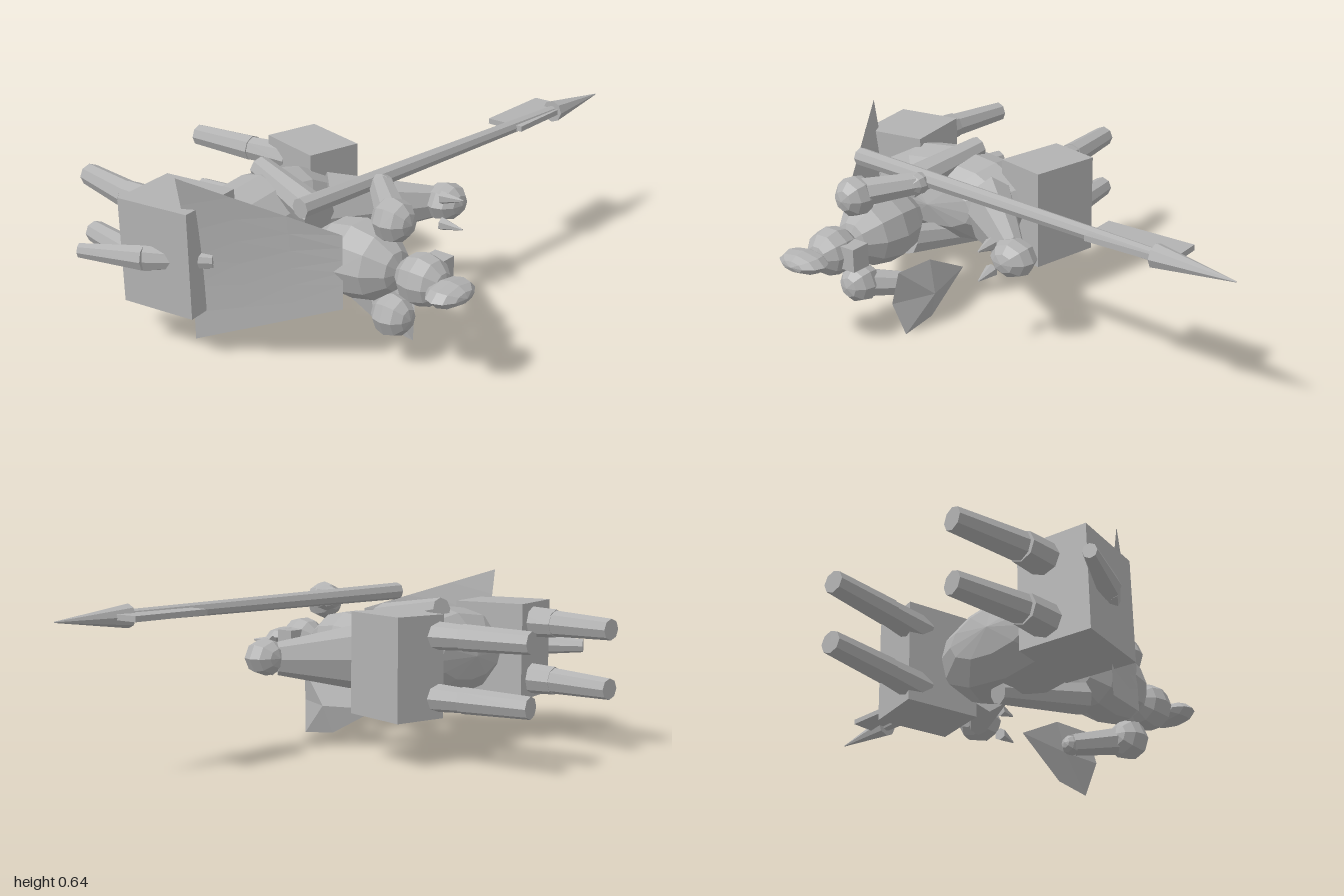
import * as THREE from 'three';

const MID = 0.355; // height of the figure's mirror plane

export function createModel() {
  const model = new THREE.Group();
  model.name = 'mountedLancer';
  const grey = new THREE.MeshStandardMaterial({ color: 0xb2b2b2, flatShading: true, side: THREE.DoubleSide });
  grey.name = 'plainGrey';

  const add = (name, geometry, pos = [0, 0, 0]) => {
    const mesh = new THREE.Mesh(geometry, grey);
    mesh.name = name;
    mesh.position.set(...pos);
    model.add(mesh);
    return mesh;
  };
  // Faceted ellipsoid with its poles along z
  const ball = (name, pos, radii, w = 10, h = 6) =>
    add(name, new THREE.SphereGeometry(1, w, h).rotateX(Math.PI / 2).scale(...radii), pos);
  const block = (name, pos, size, turn = 0) => {
    add(name, new THREE.BoxGeometry(...size), pos).rotation.y = turn;
  };
  // Tapered bar from a to b; squash narrows it sideways
  const bar = (name, a, b, ra, rb, squash = 1, sides = 8) => {
    const p = new THREE.Vector3(...a), q = new THREE.Vector3(...b);
    const dir = q.clone().sub(p), length = dir.length();
    dir.normalize();
    const x = new THREE.Vector3().crossVectors(dir, new THREE.Vector3(0, 1, 0)).normalize();
    const z = new THREE.Vector3().crossVectors(x, dir);
    const mesh = add(name, new THREE.CylinderGeometry(rb, ra, length, sides).scale(squash, 1, 1),
      p.add(q).multiplyScalar(0.5).toArray());
    mesh.quaternion.setFromRotationMatrix(new THREE.Matrix4().makeBasis(x, dir, z));
  };
  const faces = (name, points, index) => {
    const g = new THREE.BufferGeometry();
    g.setAttribute('position', new THREE.Float32BufferAttribute(points.flat(), 3));
    g.setIndex(index);
    const flat = g.toNonIndexed();
    flat.computeVertexNormals();
    add(name, flat);
  };

  // Horse body, quarters, neck, head and tail
  ball('horseBody', [-0.44, MID, -0.14], [0.38, 0.18, 0.18], 12, 6);
  block('foreQuarters', [-0.075, MID, -0.23], [0.205, 0.37, 0.27], -0.23);
  block('hindQuarters', [-0.743, MID, -0.228], [0.255, 0.37, 0.28], 0.155);
  bar('horseNeck', [-0.2, MID, -0.05], [0.09, MID, 0.2], 0.14, 0.062, 0.65);
  ball('horseHead', [0.115, 0.36, 0.235], [0.085, 0.07, 0.075], 8, 6);
  bar('tailUpper', [-0.76, MID, -0.05], [-0.885, MID, -0.24], 0.025, 0.045, 0.8);
  bar('tailLower', [-0.885, MID, -0.24], [-0.98, MID, -0.45], 0.045, 0.026, 0.9);

  // Paired parts on both sides of the mirror plane
  for (const s of [1, -1]) {
    const y = (d) => MID + s * d;
    bar('horseEar', [0.045, y(0.05), 0.27], [0.055, y(0.055), 0.355], 0.025, 0.003, 1, 6);
    bar('foreLegUpper', [-0.115, y(0.11), -0.3], [-0.135, y(0.11), -0.475], 0.055, 0.045);
    bar('foreLegLower', [-0.135, y(0.11), -0.475], [-0.157, y(0.11), -0.74], 0.048, 0.04);
    bar('hindLegUpper', [-0.735, y(0.11), -0.3], [-0.735, y(0.11), -0.475], 0.062, 0.054);
    bar('hindLegLower', [-0.733, y(0.11), -0.475], [-0.692, y(0.11), -0.735], 0.05, 0.04);
    bar('riderLeg', [-0.455, y(0.11), 0.14], [-0.378, y(0.175), -0.2], 0.06, 0.042);
    ball('shoulder', [-0.43, y(0.167), 0.432], [0.073, 0.075, 0.073], 8, 6);
  }

  // Rider torso, helmet, crest and visor
  ball('riderTorso', [-0.44, MID, 0.3], [0.135, 0.135, 0.18], 10, 6);
  ball('helmet', [-0.435, MID, 0.555], [0.088, 0.088, 0.092], 10, 6);
  ball('helmetCrest', [-0.455, MID, 0.675], [0.098, 0.038, 0.066], 8, 6);
  block('visor', [-0.35, 0.357, 0.545], [0.08, 0.085, 0.075]);

  // Arms and hands
  bar('lanceArm', [-0.43, 0.53, 0.43], [-0.29, 0.55, 0.27], 0.055, 0.042);
  ball('lanceHand', [-0.285, 0.55, 0.265], [0.042, 0.042, 0.045], 8, 6);
  bar('shieldArm', [-0.43, 0.185, 0.43], [-0.3, 0.16, 0.28], 0.055, 0.042);
  ball('shieldHand', [-0.3, 0.155, 0.27], [0.035, 0.038, 0.04], 8, 6);

  // Lance with point and stiff pennant
  bar('lanceShaft', [-0.615, 0.56, 0.203], [0.72, 0.554, 0.295], 0.034, 0.022);
  bar('lancePoint', [0.71, 0.554, 0.295], [1, 0.554, 0.313], 0.042, 0.002);
  block('pennant', [0.62, 0.556, 0.248], [0.32, 0.02, 0.145]);

  // Kite shield: a rim closed by a raised front and a shallow back
  const rim = [
    [-0.28, 0.135, 0.03], [-0.262, 0.25, 0.24], [-0.272, 0.255, 0.4],
    [-0.295, 0.13, 0.415], [-0.262, 0.005, 0.385], [-0.262, 0.02, 0.24],
  ];
  const shield = [];
  rim.forEach((_, i) => {
    const j = (i + 1) % rim.length;
    shield.push(6, i, j, 7, j, i);
  });
  faces('shield', [...rim, [-0.225, 0.13, 0.26], [-0.28, 0.13, 0.26]], shield);

  // Cape flaring from the shoulders to a wide hem
  const cols = 6, rows = 3, cape = [], capeIndex = [];
  for (let r = 0; r <= rows; r++) {
    for (let c = 0; c <= cols; c++) {
      const t = r / rows, u = (c / cols) * 2 - 1;
      const half = 0.13 + 0.165 * t;
      const x = -0.56 - 0.255 * t - 0.025 * u * t + 0.015 * (1 - u * u) * t;
      cape.push([x, MID + u * half, 0.33 - 0.45 * t]);
      if (r < rows && c < cols) {
        const k = r * (cols + 1) + c, n = k + cols + 1;
        capeIndex.push(k, k + 1, n, k + 1, n + 1, n);
      }
    }
  }
  faces('cape', cape, capeIndex);

  return model;
}
